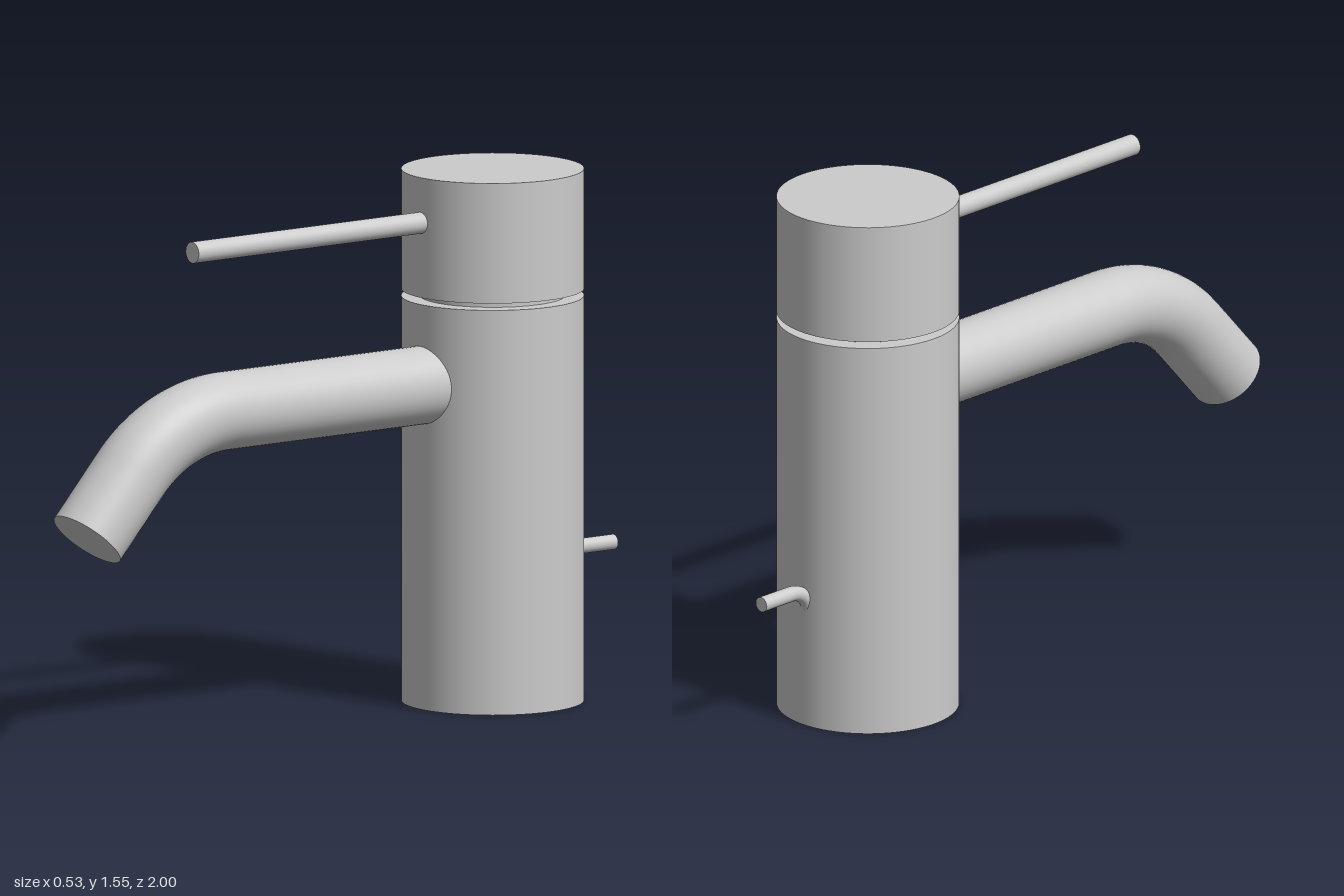
import * as THREE from 'three';

const material = new THREE.MeshStandardMaterial({ color: 0xcccccc });
const BODY_Z = -0.56, BODY_R = 0.263;

function addMesh(parent, name, geometry) {
  const mesh = new THREE.Mesh(geometry, material);
  mesh.name = name;
  parent.add(mesh);
  return mesh;
}

// upright cylinder on the body axis
function drum(parent, name, radius, bottom, top) {
  addMesh(parent, name, new THREE.CylinderGeometry(radius, radius, top - bottom, 96))
    .position.set(0, (bottom + top) / 2, BODY_Z);
}

// closed pipe in the x = 0 plane: straight, downward bend, straight.
// dir is +1 or -1 along z; the bend starts at z, turns by angle and runs on for tail
function bentPipe(name, { from, z, y, dir, bend, angle, tail, radius }) {
  const at = (zz, yy) => new THREE.Vector3(0, yy, zz);
  const s = Math.sin(angle), c = Math.cos(angle);
  const k = (4 / 3) * Math.tan(angle / 4) * bend;
  const start = at(z, y);
  const end = at(z + dir * bend * s, y - bend * (1 - c));
  const tip = at(end.z + dir * tail * c, end.y - tail * s);
  const path = new THREE.CurvePath();
  path.add(new THREE.LineCurve3(at(from, y), start));
  path.add(new THREE.CubicBezierCurve3(start, at(z + dir * k, y),
    at(end.z - dir * k * c, end.y + k * s), end));
  path.add(new THREE.LineCurve3(end, tip));

  const group = new THREE.Group();
  group.name = name;
  addMesh(group, name + 'Tube', new THREE.TubeGeometry(path, 96, radius, 48));
  // end discs facing outwards
  const ends = [[at(from, y), at(0, 0).set(0, 0, -dir)], [tip, at(dir * c, -s)]];
  for (const [point, normal] of ends) {
    const cap = addMesh(group, name + 'End', new THREE.CircleGeometry(radius, 48));
    cap.position.copy(point);
    cap.quaternion.setFromUnitVectors(new THREE.Vector3(0, 0, 1), normal);
  }
  return group;
}

export function createModel() {
  const model = new THREE.Group();
  model.name = 'basinTap';

  // column, recessed neck and turning cap
  drum(model, 'body', BODY_R, 0, 1.18);
  drum(model, 'neck', 0.21, 1.18, 1.2);
  drum(model, 'cap', BODY_R, 1.2, 1.55);

  // lever rod pointing forward from the cap
  const lever = addMesh(model, 'lever', new THREE.CylinderGeometry(0.031, 0.031, 0.9, 32));
  lever.rotation.x = Math.PI / 2;
  lever.position.set(0, 1.418, 0.083);

  // spout bending down at the front
  model.add(bentPipe('spout', {
    from: -0.4, z: 0.42, y: 0.945, dir: 1, bend: 0.46,
    angle: THREE.MathUtils.degToRad(48), tail: 0.23, radius: 0.113,
  }));

  // small waste pull rod at the back, curving down into the body
  model.add(bentPipe('pullRod', {
    from: -1, z: -0.88, y: 0.415, dir: 1, bend: 0.08,
    angle: Math.PI / 2, tail: 0.03, radius: 0.022,
  }));

  return model;
}
